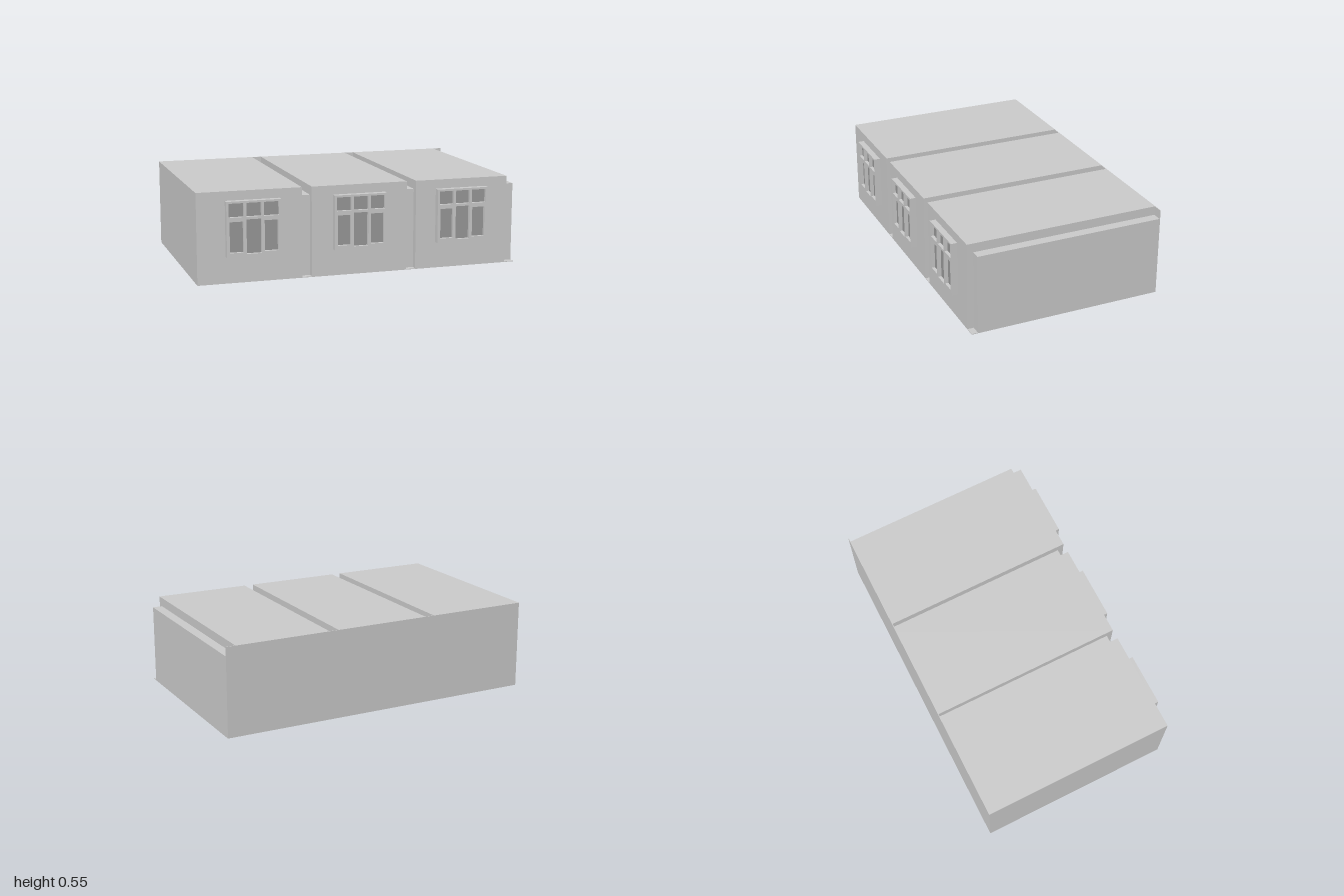
import * as THREE from 'three';

const wallMat = new THREE.MeshStandardMaterial({ color: 0xcccccc, flatShading: true });
const glassMat = new THREE.MeshStandardMaterial({ color: 0x999999, flatShading: true });

// Box given by its minimum and maximum corners
function box(name, [x0, y0, z0], [x1, y1, z1], material = wallMat) {
  const mesh = new THREE.Mesh(new THREE.BoxGeometry(x1 - x0, y1 - y0, z1 - z0), material);
  mesh.position.set((x0 + x1) / 2, (y0 + y1) / 2, (z0 + z1) / 2);
  mesh.name = name;
  return mesh;
}

function rectangle(Type, x0, y0, x1, y1) {
  const path = new Type();
  path.moveTo(x0, y0);
  path.lineTo(x1, y0);
  path.lineTo(x1, y1);
  path.lineTo(x0, y1);
  path.closePath();
  return path;
}

const WALL_Z = 0.583, BACK_Z = -0.62, HEIGHT = 0.545;

// Pane openings relative to the window centre: three small lights over three tall ones
const PANES = [
  [-0.15, 0.396, -0.06, 0.478], [-0.045, 0.396, 0.045, 0.478], [0.06, 0.396, 0.15, 0.478],
  [-0.145, 0.187, -0.063, 0.37], [-0.045, 0.177, 0.045, 0.381], [0.063, 0.187, 0.145, 0.37],
];

function createWindow() {
  const group = new THREE.Group();
  group.name = 'window';
  const shape = rectangle(THREE.Shape, -0.163, 0.16, 0.163, 0.49);
  for (const pane of PANES) shape.holes.push(rectangle(THREE.Path, ...pane));
  const frame = new THREE.Mesh(
    new THREE.ExtrudeGeometry(shape, { depth: 0.62 - WALL_Z, bevelEnabled: false }), wallMat);
  frame.position.z = WALL_Z;
  frame.name = 'windowFrame';
  group.add(frame);
  // Glass set back behind the frame face
  for (const [x0, y0, x1, y1] of PANES) {
    group.add(box('windowPane', [x0, y0, WALL_Z], [x1, y1, 0.6], glassMat));
  }
  return group;
}

export function createModel() {
  const model = new THREE.Group();
  model.name = 'building';

  // Three room blocks, separated by recessed joint strips
  const blocks = [[-1, -0.37], [-0.31, 0.285], [0.345, 0.94]];
  const joints = [[-0.37, -0.31], [0.285, 0.345], [0.94, 1]];
  const back = BACK_Z + 0.004, base = 0.004;
  for (const [x0, x1] of blocks) {
    model.add(box('roomBlock', [x0, base, back], [x1, HEIGHT, WALL_Z]));
  }
  for (const [x0, x1] of joints) {
    model.add(box('jointStrip', [x0, base, back], [x1, 0.49, 0.545]));
  }

  // Thin floor slab and rear wall close the joints below and behind
  model.add(box('floorSlab', [-1, 0, back], [1, base, WALL_Z]));
  model.add(box('rearWall', [-1, 0, BACK_Z], [1, HEIGHT, back]));

  // One window per block
  for (const x of [-0.668, -0.016, 0.636]) {
    const win = createWindow();
    win.position.x = x;
    model.add(win);
  }
  return model;
}
